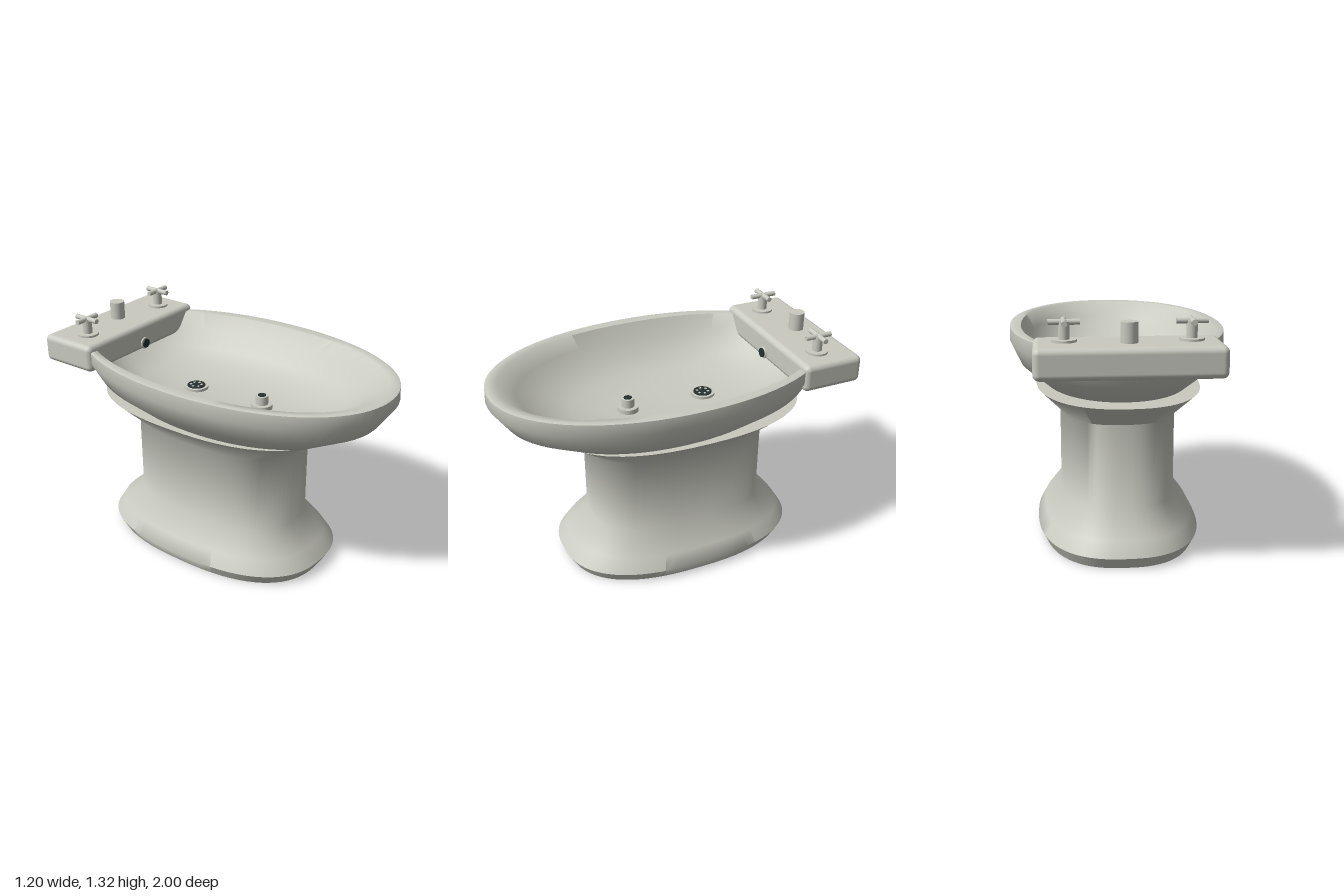
import * as THREE from 'three';
import { toCreasedNormals } from 'three/addons/utils/BufferGeometryUtils.js';
import { RoundedBoxGeometry } from 'three/addons/geometries/RoundedBoxGeometry.js';

const porcelain = new THREE.MeshStandardMaterial({ name: 'porcelain', color: 0xc9cac0 });
const dark = new THREE.MeshStandardMaterial({ name: 'darkDrain', color: 0x26302f });

// Skin a list of superellipse rings: [y, halfWidth, zFront, zBack, exponent]
function loft(rings, segments = 72) {
  const pos = [], index = [];
  for (const [y, hx, zf, zb, n] of rings) {
    for (let i = 0; i < segments; i++) {
      const t = (i / segments) * Math.PI * 2, c = Math.cos(t), s = Math.sin(t);
      pos.push(
        hx * Math.sign(c) * Math.abs(c) ** (2 / n), y,
        (zf + zb) / 2 + ((zf - zb) / 2) * Math.sign(s) * Math.abs(s) ** (2 / n));
    }
  }
  for (let r = 0; r < rings.length - 1; r++) {
    for (let i = 0; i < segments; i++) {
      const j = (i + 1) % segments;
      const a = r * segments + i, b = r * segments + j, c = a + segments, d = b + segments;
      if (rings[r][1] > 0) index.push(a, c, b);
      if (rings[r + 1][1] > 0) index.push(b, c, d);
    }
  }
  const g = new THREE.BufferGeometry();
  g.setAttribute('position', new THREE.Float32BufferAttribute(pos, 3));
  g.setIndex(index);
  return toCreasedNormals(g, 0.96);
}

function add(parent, name, geometry, material, x = 0, y = 0, z = 0) {
  const m = new THREE.Mesh(geometry, material);
  m.name = name;
  m.position.set(x, y, z);
  parent.add(m);
  return m;
}

// Upright cylinder standing on height y
const post = (parent, name, r, h, mat, x, y, z) =>
  add(parent, name, new THREE.CylinderGeometry(r, r, h, 28), mat, x, y + h / 2, z);

export function createModel() {
  const model = new THREE.Group();
  model.name = 'bidet';

  // Pedestal: spreading foot, straight column, flared top
  add(model, 'pedestal', loft([
    [0, 0, -0.065, -0.065, 2],
    [0, 0.425, 0.615, -0.74, 2.5],
    [0.065, 0.457, 0.65, -0.775, 2.5],
    [0.145, 0.415, 0.59, -0.725, 2.5],
    [0.27, 0.32, 0.465, -0.59, 2.6],
    [0.735, 0.32, 0.465, -0.59, 2.6],
    [0.877, 0.455, 0.665, -0.815, 2.4],
    [0.877, 0, -0.065, -0.065, 2],
  ]), porcelain);

  // Bowl: outside wall up, over the rim, down the inside
  add(model, 'bowl', loft([
    [0.85, 0, 0, 0, 2],
    [0.85, 0.385, 0.665, -0.63, 2.1],
    [0.99, 0.545, 0.915, -0.86, 2.1],
    [1.11, 0.6, 0.998, -0.945, 2.1],
    [1.18, 0.596, 0.995, -0.95, 2.1],
    [1.184, 0.585, 0.98, -0.94, 2.1],
    [1.18, 0.535, 0.93, -0.9, 2.2],
    [1.1, 0.49, 0.83, -0.82, 2.3],
    [1.0, 0.41, 0.69, -0.71, 2.3],
    [0.945, 0.32, 0.54, -0.58, 2.2],
    [0.917, 0.2, 0.34, -0.4, 2.1],
    [0.906, 0, -0.02, -0.02, 2],
  ]), porcelain);

  // Tap deck across the back
  add(model, 'tapDeck', new RoundedBoxGeometry(0.925, 0.157, 0.358, 5, 0.032), porcelain, 0, 1.137, -0.821);

  // Pair of cross-handled taps
  for (const side of [-1, 1]) {
    const tap = new THREE.Group();
    tap.name = side < 0 ? 'rightTap' : 'leftTap';
    tap.position.set(side * 0.31, 1.213, -0.797);
    post(tap, 'tapFlange', 0.062, 0.014, porcelain, 0, 0, 0);
    post(tap, 'tapStem', 0.027, 0.1, porcelain, 0, 0, 0);
    const bar = new THREE.CylinderGeometry(0.0145, 0.0145, 0.156, 16);
    add(tap, 'tapHandleAcross', bar, porcelain, 0, 0.097, 0).rotation.z = Math.PI / 2;
    add(tap, 'tapHandleAlong', bar, porcelain, 0, 0.097, 0).rotation.x = Math.PI / 2;
    model.add(tap);
  }
  post(model, 'diverterKnob', 0.043, 0.11, porcelain, 0, 1.208, -0.849);

  // Drain with a perforated dark strainer
  const drain = new THREE.Group();
  drain.name = 'drain';
  drain.position.set(0, 0.905, -0.25);
  post(drain, 'drainRing', 0.07, 0.022, porcelain, 0, 0, 0);
  post(drain, 'drainStrainer', 0.053, 0.005, dark, 0, 0.021, 0);
  for (let i = 0; i < 6; i++) {
    const a = (i / 6) * Math.PI * 2;
    add(drain, 'strainerStud', new THREE.BoxGeometry(0.013, 0.003, 0.013), porcelain,
      Math.cos(a) * 0.031, 0.027, Math.sin(a) * 0.031);
  }
  model.add(drain);

  // Upright spray jet on the bowl floor
  post(model, 'jetFlange', 0.06, 0.038, porcelain, 0, 0.903, 0.215);
  post(model, 'jetStem', 0.036, 0.088, porcelain, 0, 0.903, 0.215);
  post(model, 'jetNozzle', 0.023, 0.005, dark, 0, 0.989, 0.215);

  // Small outlet in the front of the deck
  add(model, 'outletRing', new THREE.TorusGeometry(0.029, 0.007, 10, 28), porcelain, 0, 1.1, -0.64);
  add(model, 'outlet', new THREE.CylinderGeometry(0.027, 0.027, 0.022, 24), dark, 0, 1.1, -0.636).rotation.x = Math.PI / 2;

  return model;
}
